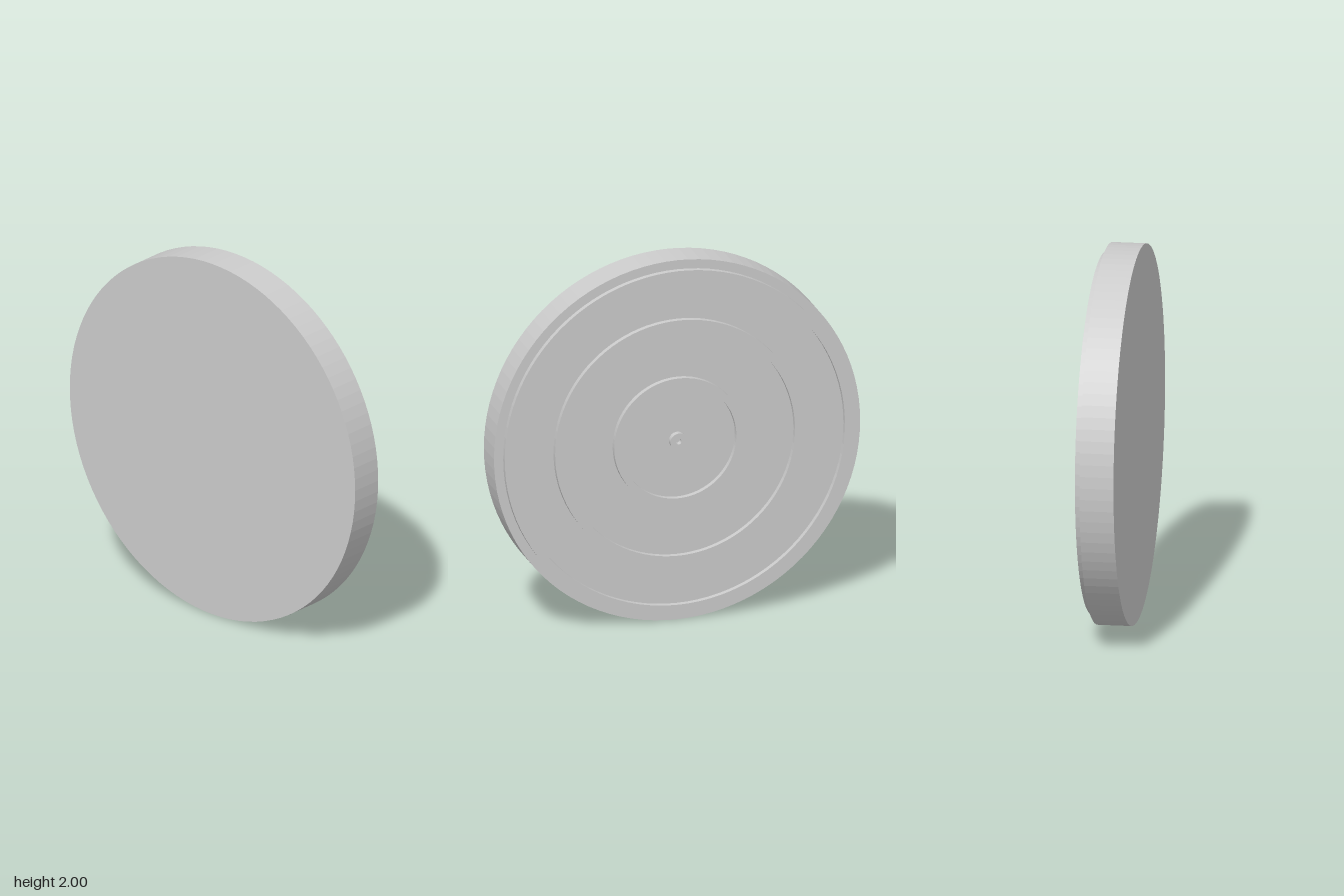
import * as THREE from 'three';

const SIDES = 100;
const BACK = -0.105, FACE = 0.075, RIM = 0.105;

export function createModel() {
  const model = new THREE.Group();
  const material = new THREE.MeshStandardMaterial({ color: 0xcccccc, flatShading: true });

  // Parts are turned about the y axis, then laid over so the axis points to +x
  const add = (name, geometry) => {
    geometry.rotateZ(-Math.PI / 2);
    const mesh = new THREE.Mesh(geometry, material);
    mesh.name = name;
    mesh.position.y = 1;
    model.add(mesh);
  };

  // Solid disc
  const disc = new THREE.CylinderGeometry(1, 1, FACE - BACK, SIDES);
  disc.translate(0, (FACE + BACK) / 2, 0);
  add('disc', disc);

  // Raised concentric ridges: outer wall, flat top, inner wall
  const ridges = [
    ['outerRidge', 0.95, 0.908],
    ['middleRidge', 0.675, 0.635],
    ['innerRidge', 0.352, 0.315],
    ['centreRing', 0.045, 0.015],
  ];
  for (const [name, outer, inner] of ridges) {
    const profile = [[outer, FACE], [outer, RIM], [inner, RIM], [inner, FACE]]
      .map(([r, y]) => new THREE.Vector2(r, y));
    add(name, new THREE.LatheGeometry(profile, SIDES));
  }

  return model;
}
